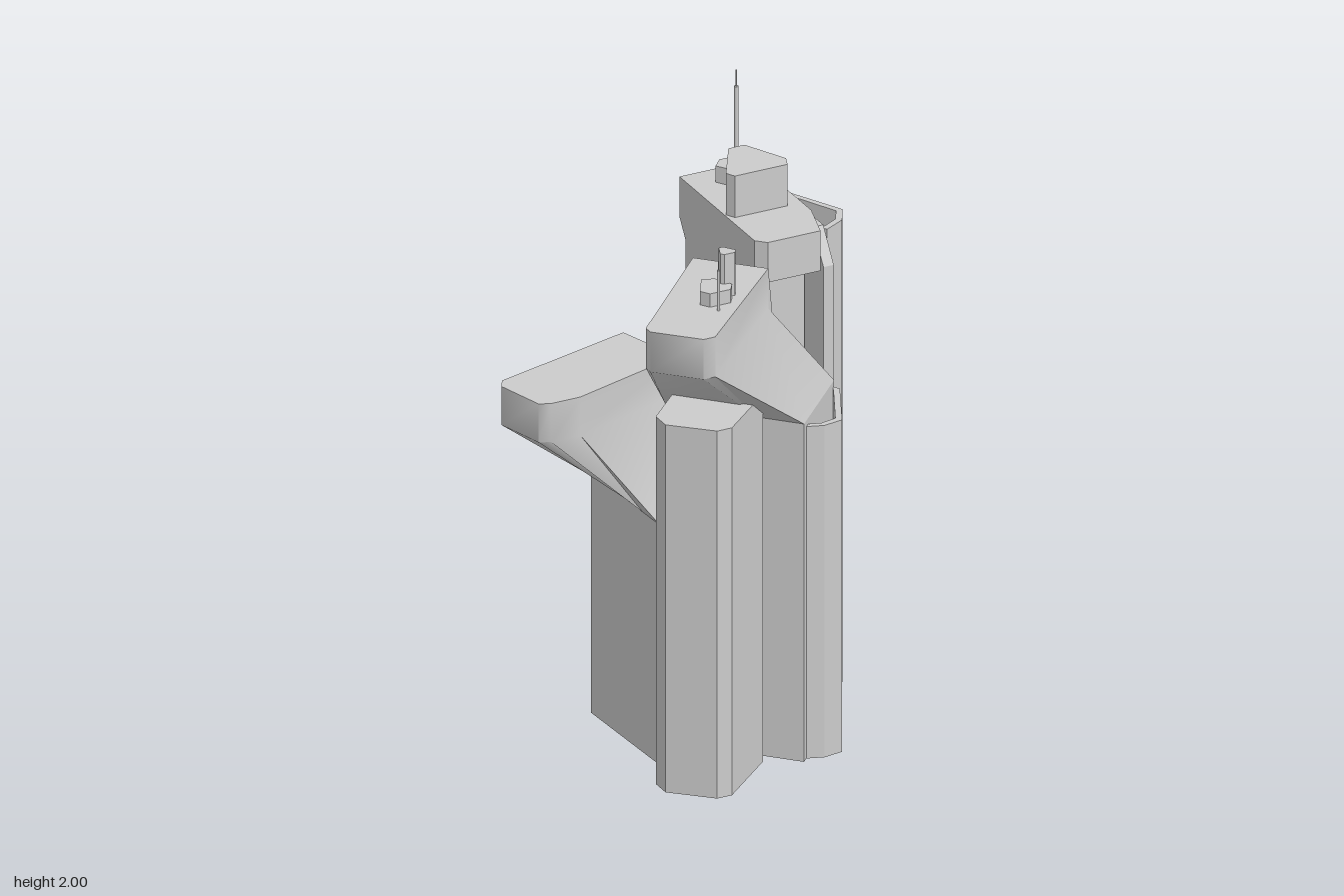
import * as THREE from 'three';
import { toCreasedNormals } from 'three/addons/utils/BufferGeometryUtils.js';

const material = new THREE.MeshStandardMaterial({ color: 0xcccccc, side: THREE.DoubleSide });

function meshFrom(name, positions, crease = 0.45) {
  const geo = new THREE.BufferGeometry();
  geo.setAttribute('position', new THREE.Float32BufferAttribute(positions, 3));
  const mesh = new THREE.Mesh(toCreasedNormals(geo, crease), material);
  mesh.name = name;
  return mesh;
}

// Joins plan outlines ([x, z] corners) stacked at the given heights; roofed, hollow underneath.
function loft(name, plans, heights, { open = false, crease } = {}) {
  const pos = [];
  const area = (pts) => THREE.ShapeUtils.area(pts.map(([x, z]) => new THREE.Vector2(x, z)));
  const rings = area(plans[0]) > 0 ? plans.map((p) => [...p].reverse()) : plans;
  const n = rings[0].length;
  const last = rings.length - 1;
  const put = (r, i) => pos.push(rings[r][i][0], heights[r], rings[r][i][1]);
  for (let r = 0; r < last; r++) {
    for (let i = 0; i < (open ? n - 1 : n); i++) {
      const j = (i + 1) % n;
      put(r, i); put(r, j); put(r + 1, j);
      put(r, i); put(r + 1, j); put(r + 1, i);
    }
  }
  // Roof, with every triangle turned to face up
  const contour = rings[last].map(([x, z]) => new THREE.Vector2(x, z));
  for (const tri of THREE.ShapeUtils.triangulateShape(contour, [])) {
    const facesUp = area(tri.map((i) => rings[last][i])) < 0;
    (facesUp ? tri : [...tri].reverse()).forEach((i) => put(last, i));
  }
  return meshFrom(name, pos, crease);
}

const prism = (name, plan, y0, y1) => loft(name, [plan, plan], [y0, y1]);

function mast(name, x, z, y0, y1, radius) {
  const mesh = new THREE.Mesh(new THREE.CylinderGeometry(radius, radius, y1 - y0, 8), material);
  mesh.position.set(x, (y0 + y1) / 2, z);
  mesh.name = name;
  return mesh;
}

// A notched block whose head leans outward; base = [C, D, D', C'], head runs from C's side to C' side.
function wing(name, { base, notch, head, foot, floor, kink, top }) {
  const group = new THREE.Group();
  group.name = name;
  const [c, d, d2, c2] = base;
  const steps = head.length - 3;
  const outer = head.slice(1, -1).map((_, i) => [0, 1].map((k) => d[k] + (d2[k] - d[k]) * i / steps));
  group.add(prism(name + 'Body', [...base, ...notch], 0.02, floor));
  group.add(loft(name + 'Head', [[c, ...outer, c2], head, head],
    [floor, kink, top], { open: true, crease: 0.95 }));

  // Steep inner wall and the triangular cheeks beside it
  const at = ([x, z], y) => [x, y, z];
  const [p3, p4] = [head[0], head[head.length - 1]];
  const [q3, q4] = foot;
  const tris = [
    [at(p3, top), at(q3, floor), at(q4, floor)], [at(p3, top), at(q4, floor), at(p4, top)],
    [at(p3, top), at(p3, kink), at(q3, floor)], [at(p3, kink), at(c, floor), at(q3, floor)],
    [at(p4, top), at(q4, floor), at(p4, kink)], [at(p4, kink), at(q4, floor), at(c2, floor)],
  ];
  group.add(meshFrom(name + 'InnerWall', tris.flat(2)));
  return group;
}

export function createModel() {
  const model = new THREE.Group();
  model.name = 'towerCluster';

  // Tall tower with an overhanging head
  const shaft = [[0.23, -0.48], [0.447, -0.48], [0.447, -0.2], [0.447, -0.11], [0.26, -0.11], [0.23, -0.13]];
  const head = [[0.23, -0.52], [0.48, -0.52], [0.48, -0.13], [0.44, 0.01], [0.26, 0.01], [0.23, -0.02]];
  model.add(loft('tallTower', [shaft, shaft, head, head], [0, 1.43, 1.49, 1.625]));
  model.add(prism('towerRoofBlock',
    [[0.32, -0.37], [0.375, -0.37], [0.445, -0.23], [0.43, -0.19], [0.25, -0.19], [0.235, -0.22]], 1.625, 1.765));
  model.add(prism('towerMastBase',
    [[0.34, -0.47], [0.44, -0.47], [0.46, -0.44], [0.39, -0.34], [0.375, -0.34], [0.31, -0.435]], 1.625, 1.68));
  model.add(mast('towerMast', 0.37, -0.415, 1.63, 1.945, 0.007));
  model.add(mast('towerMastTip', 0.37, -0.415, 1.945, 2, 0.002));

  // Fin with a sloped top beside the tall tower
  const fin = (front) => [[0.45, -0.15], [0.485, -0.15], [0.485, front], [0.45, front]];
  model.add(loft('towerFin', [fin(0.01), fin(0.01), fin(-0.06)], [0.02, 1.5, 1.605]));

  // Thin folded screens beside the tall tower and the front wing
  model.add(prism('towerScreen',
    [[0.447, -0.375], [0.51, -0.37], [0.61, -0.175], [0.575, -0.11], [0.505, -0.073], [0.495, -0.09],
      [0.56, -0.125], [0.587, -0.175], [0.5, -0.352], [0.447, -0.355]], 0.015, 1.58));
  model.add(prism('frontScreen',
    [[0.23, 0.31], [0.29, 0.33], [0.355, 0.32], [0.447, 0.125], [0.435, 0.1], [0.425, 0.125], [0.342, 0.3],
      [0.29, 0.31], [0.24, 0.295]], 0.02, 1.14));

  // High front wing
  model.add(wing('frontWing', {
    base: [[0.44, 0.1], [0.22, 0.33], [-0.09, 0.01], [0.13, -0.22]],
    notch: [[0.23, -0.28], [0.15, -0.12], [0.33, 0.07], [0.44, 0]],
    head: [[0.18, 0.17], [-0.18, 0.52], [-0.22, 0.52], [-0.34, 0.4], [-0.34, 0.37], [0.01, 0]],
    foot: [[0.23, 0.15], [0.07, -0.03]],
    floor: 1.16, kink: 1.49, top: 1.625,
  }));
  model.add(prism('wingRoofBlock',
    [[-0.12, 0.3], [-0.08, 0.23], [-0.04, 0.24], [-0.01, 0.3], [-0.03, 0.33], [-0.1, 0.33]], 1.62, 1.67));
  model.add(prism('wingRoofStack',
    [[-0.04, 0.28], [-0.025, 0.24], [-0.01, 0.24], [0.015, 0.275], [0.005, 0.29], [-0.03, 0.29]], 1.62, 1.77));
  model.add(mast('wingMast', -0.087, 0.36, 1.62, 1.76, 0.005));
  model.add(mast('wingMastTip', -0.087, 0.36, 1.76, 1.79, 0.002));
  model.add(mast('wingThinMast', 0.025, 0.155, 1.62, 1.71, 0.0015));

  // Lower rear wing
  model.add(wing('rearWing', {
    base: [[0.14, 0.06], [-0.18, 0.15], [-0.2, -0.27], [0.12, -0.36]],
    notch: [[0.23, -0.35], [0.08, -0.26], [0.14, -0.02], [0.23, 0]],
    head: [[-0.04, -0.01], [-0.43, 0.11], [-0.53, 0.11], [-0.565, 0.095], [-0.61, -0.065], [-0.59, -0.1],
      [-0.11, -0.23]],
    foot: [[0, -0.03], [-0.07, -0.245]],
    floor: 0.83, kink: 1.17, top: 1.3,
  }));

  // Shaft under the front wing's overhang
  model.add(prism('frontShaft',
    [[-0.26, 0.28], [-0.26, 0.345], [-0.14, 0.455], [-0.09, 0.455], [0.1, 0.29], [0.1, 0.2], [-0.08, 0.1]],
    0.03, 1.27));
  return model;
}
